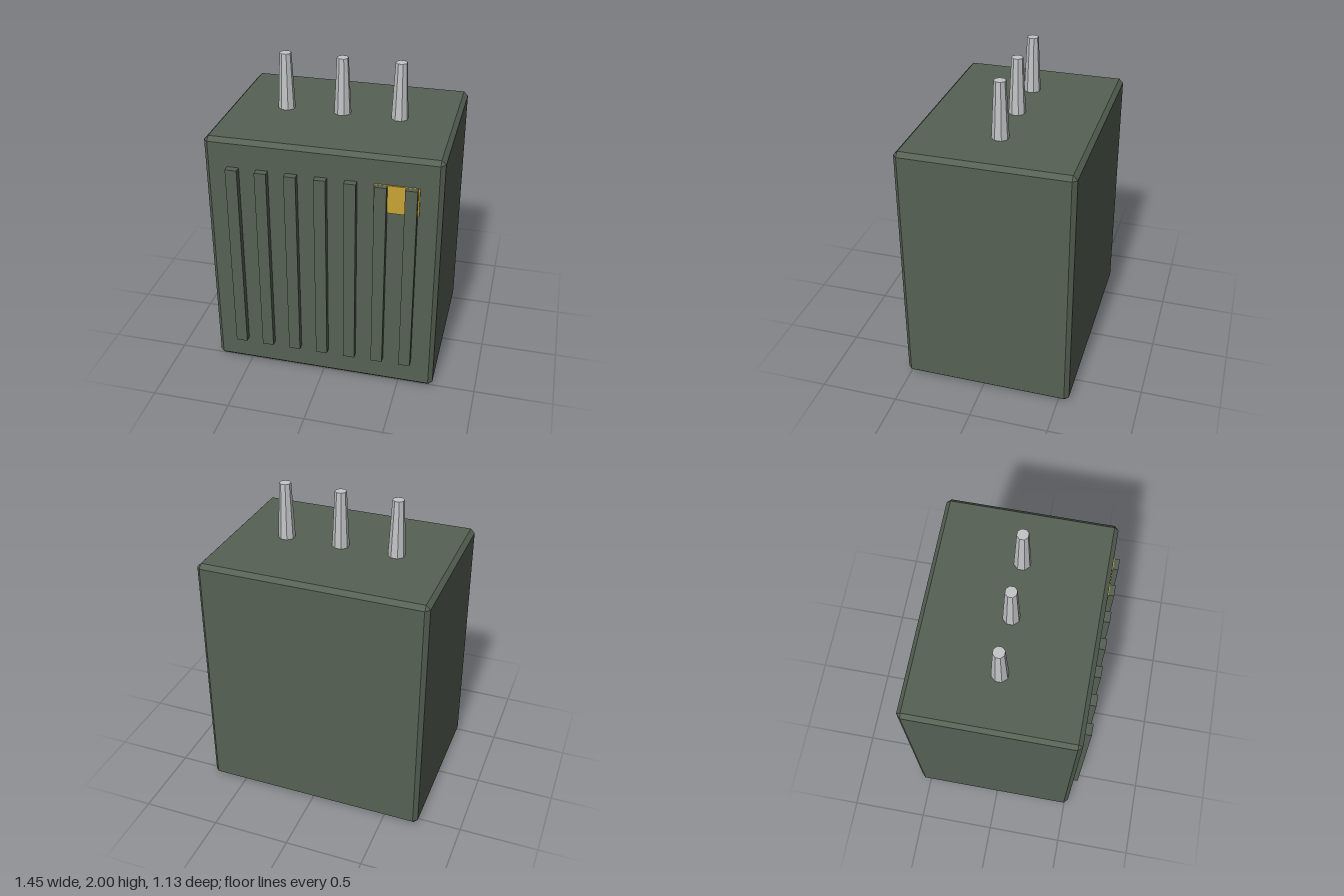
import * as THREE from 'three';
import { ConvexGeometry } from 'three/addons/geometries/ConvexGeometry.js';

const material = (name, color) => {
  const m = new THREE.MeshStandardMaterial({ color, flatShading: true });
  m.name = name;
  return m;
};

// Box with every edge cut by a flat chamfer c
function chamferedBox(w, h, d, c) {
  const points = [];
  for (const sx of [-1, 1]) for (const sy of [-1, 1]) for (const sz of [-1, 1]) {
    const [x, y, z] = [w / 2, h / 2, d / 2];
    points.push(
      new THREE.Vector3(sx * x, sy * (y - c), sz * (z - c)),
      new THREE.Vector3(sx * (x - c), sy * y, sz * (z - c)),
      new THREE.Vector3(sx * (x - c), sy * (y - c), sz * z)
    );
  }
  return new ConvexGeometry(points);
}

export function createModel() {
  const model = new THREE.Group();
  model.name = 'transformer';
  const green = material('green paint', 0x566154);
  const grey = material('light grey ceramic', 0xc2c4c6);
  const yellow = material('yellow label', 0xc9a435);

  const add = (name, geometry, mat, x, y, z) => {
    const mesh = new THREE.Mesh(geometry, mat);
    mesh.name = name;
    mesh.position.set(x, y, z);
    model.add(mesh);
  };

  // Tank
  const width = 1.454, height = 1.636, depth = 1.089, middleZ = -0.022;
  const frontZ = middleZ + depth / 2;
  add('tank', chamferedBox(width, height, depth, 0.027), green, 0, height / 2, middleZ);

  // Cooling fins on the front
  const fin = new THREE.BoxGeometry(0.073, 1.273, 0.073);
  for (let i = -3; i <= 3; i++) {
    add('coolingFin', fin, green, i * 0.182, 0.818, 0.566 - 0.0365);
  }

  // Warning plate behind the last two fins
  add('warningPlate', new THREE.BoxGeometry(0.273, 0.182, 0.009), yellow, 0.455, 1.364, frontZ + 0.0045);

  // Tapered eight-sided bushings, a flat side facing the front
  const bushing = new THREE.CylinderGeometry(0.037, 0.0545, 2 - height, 8);
  bushing.rotateY(Math.PI / 8);
  for (const x of [-0.364, 0, 0.364]) {
    add('bushing', bushing, grey, x, (2 + height) / 2, middleZ);
  }

  return model;
}
